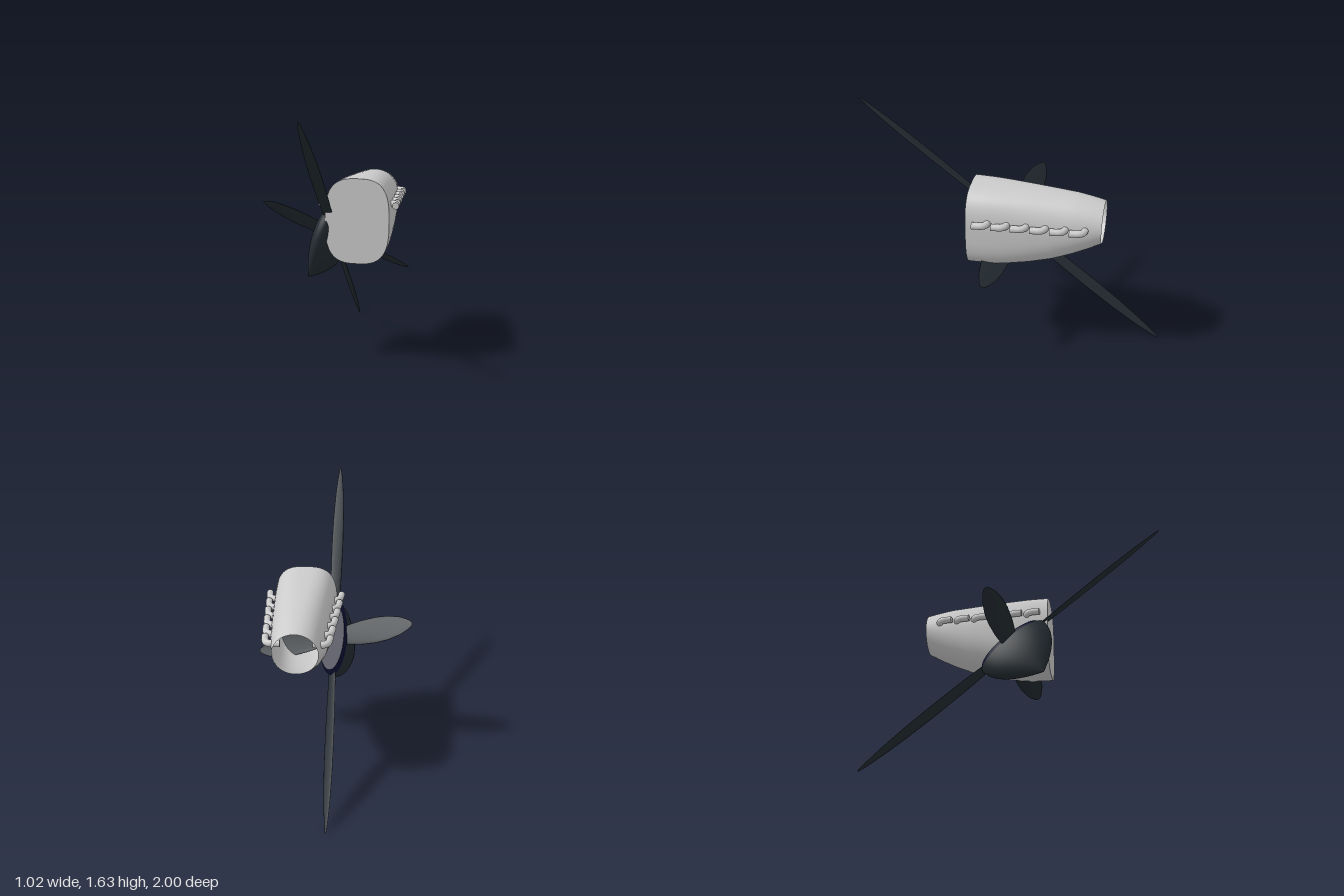
import * as THREE from 'three';

const grey = new THREE.MeshStandardMaterial({ color: 0xcccccc, side: THREE.DoubleSide });
const dark = new THREE.MeshStandardMaterial({ color: 0x232b31, side: THREE.DoubleSide });
const navy = new THREE.MeshStandardMaterial({ color: 0x0b0e30, side: THREE.DoubleSide });

const { lerp } = THREE.MathUtils;
const CX = 0.195; // centre line of the cowling

// Linear lookup in rows sorted by their first entry
function sample(rows, t) {
  let i = 0;
  while (i < rows.length - 2 && t > rows[i + 1][0]) i++;
  const a = rows[i], b = rows[i + 1];
  const k = THREE.MathUtils.clamp((t - a[0]) / (b[0] - a[0]), 0, 1);
  return a.map((v, n) => lerp(v, b[n], k));
}

// Skin over equal rings of Vector3, each running counterclockwise about the loft direction
function loft(rings) {
  const n = rings[0].length, index = [];
  for (let i = 0; i < rings.length - 1; i++) {
    for (let j = 0; j < n; j++) {
      const a = i * n + j, b = i * n + (j + 1) % n;
      index.push(a, b, b + n, a, b + n, a + n);
    }
  }
  const g = new THREE.BufferGeometry().setFromPoints(rings.flat());
  g.setIndex(index);
  g.computeVertexNormals();
  return g;
}

function add(parent, name, geometry, material) {
  const mesh = new THREE.Mesh(geometry, material);
  mesh.name = name;
  parent.add(mesh);
  return mesh;
}

// Cowling stations: z, half width, bottom y, top y, roundness exponent
const stations = [
  [-0.61, 0.14, 0.895, 1.165, 2.0],
  [-0.53, 0.153, 0.85, 1.182, 2.1],
  [-0.43, 0.167, 0.80, 1.197, 2.2],
  [-0.3, 0.18, 0.747, 1.205, 2.35],
  [-0.15, 0.19, 0.708, 1.213, 2.55],
  [0, 0.198, 0.682, 1.218, 2.8],
  [0.1, 0.202, 0.676, 1.22, 2.95],
  [0.23, 0.205, 0.675, 1.22, 3.0],
];

function cowlRing([z, w, bottom, top, n]) {
  const ring = [], h = (top - bottom) / 2;
  const power = (v) => Math.sign(v) * Math.abs(v) ** (2 / n);
  for (let j = 0; j < 64; j++) {
    const a = (j / 64) * Math.PI * 2;
    ring.push(new THREE.Vector3(CX + w * power(Math.cos(a)), bottom + h + h * power(Math.sin(a)), z));
  }
  return ring;
}

function buildCowling() {
  const group = new THREE.Group();
  group.name = 'cowling';
  const rings = [];
  for (let i = 0; i <= 28; i++) rings.push(cowlRing(sample(stations, lerp(-0.61, 0.23, i / 28))));
  add(group, 'cowlingShell', loft(rings), grey);
  const face = new THREE.Shape(rings[28].map((p) => new THREE.Vector2(p.x, p.y)));
  add(group, 'cowlingFrontPlate', new THREE.ShapeGeometry(face), grey).position.z = 0.23;
  return group;
}

// Bent exhaust stubs, six along each side
function buildExhausts() {
  const group = new THREE.Group();
  group.name = 'exhausts';
  const radius = 0.022;
  for (const side of [-1, 1]) {
    for (let i = 0; i < 6; i++) {
      const z = 0.18 - i * 0.12;
      const out = lerp(0.238, 0.2, i / 5);
      const p = (offset, back) => new THREE.Vector3(CX + side * offset, 1.047, z - back);
      const path = new THREE.CurvePath();
      path.add(new THREE.LineCurve3(p(out - 0.1, 0.09), p(out - 0.045, 0.09)));
      path.add(new THREE.QuadraticBezierCurve3(p(out - 0.045, 0.09), p(out - 0.008, 0.088), p(out - 0.004, 0.045)));
      path.add(new THREE.LineCurve3(p(out - 0.004, 0.045), p(out, 0)));
      add(group, 'exhaustPipe', new THREE.TubeGeometry(path, 20, radius, 14), grey);
      // Closed ends
      for (const t of [0, 1]) {
        const cap = add(group, 'exhaustEnd', new THREE.CircleGeometry(radius, 14), grey);
        cap.position.copy(path.getPoint(t));
        const dir = path.getTangent(t).multiplyScalar(t ? 1 : -1);
        cap.lookAt(cap.position.clone().add(dir));
      }
    }
  }
  return group;
}

// Blade stations: distance from hub, chord factor
const bladePlan = [[0.08, 0.5], [0.2, 0.78], [0.35, 0.93], [0.55, 1], [0.7, 0.93], [0.85, 0.7], [0.95, 0.4], [1, 0.14]];

// One blade along local x, twisting from root to tip
function bladeGeometry() {
  const rings = [];
  for (let i = 0; i <= 24; i++) {
    const x = lerp(0.08, 1, i / 24);
    const chord = 0.067 * sample(bladePlan, x)[1];
    const pitch = lerp(0.7, 0.38, x), thick = lerp(0.014, 0.004, x);
    const ring = [];
    for (let j = 0; j < 16; j++) {
      const a = (j / 16) * Math.PI * 2;
      const c = chord * Math.cos(a), t = thick * Math.sin(a);
      ring.push(new THREE.Vector3(x, c - t * pitch, c * pitch + t));
    }
    rings.push(ring);
  }
  rings.push(rings[24].map(() => new THREE.Vector3(1, 0, 0)));
  return loft(rings);
}

function buildPropeller() {
  const group = new THREE.Group();
  group.name = 'propeller';
  // Skewed frame: long blade pair, short blade pair, spinner axis
  const frame = new THREE.Matrix4().makeBasis(
    new THREE.Vector3(0.01, 0.812, 1),
    new THREE.Vector3(-0.508, 0.175, -0.105),
    new THREE.Vector3(-0.127, -0.247, 0.215),
  ).setPosition(0, 0.818, 0);

  const lathe = (points) => new THREE.LatheGeometry(points.map(([r, y]) => new THREE.Vector2(r, y)), 40)
    .rotateX(Math.PI / 2).scale(1, 0.88, 1).applyMatrix4(frame);

  // Pointed spinner
  const profile = [];
  for (let i = 0; i <= 20; i++) profile.push([0.205 * (1 - (i / 20) ** 2), i / 20]);
  add(group, 'spinner', lathe(profile), dark);

  // Back plate
  add(group, 'spinnerBackPlate', lathe([[0, -0.1], [0.185, -0.1]]), navy);
  add(group, 'spinnerBackRim', lathe([[0.185, -0.1], [0.205, 0]]), navy);

  for (let k = 0; k < 4; k++) {
    add(group, 'blade', bladeGeometry().rotateZ(k * Math.PI / 2).applyMatrix4(frame), dark);
  }
  return group;
}

export function createModel() {
  const model = new THREE.Group();
  model.name = 'engineAndPropeller';
  model.add(buildCowling(), buildExhausts(), buildPropeller());
  return model;
}
